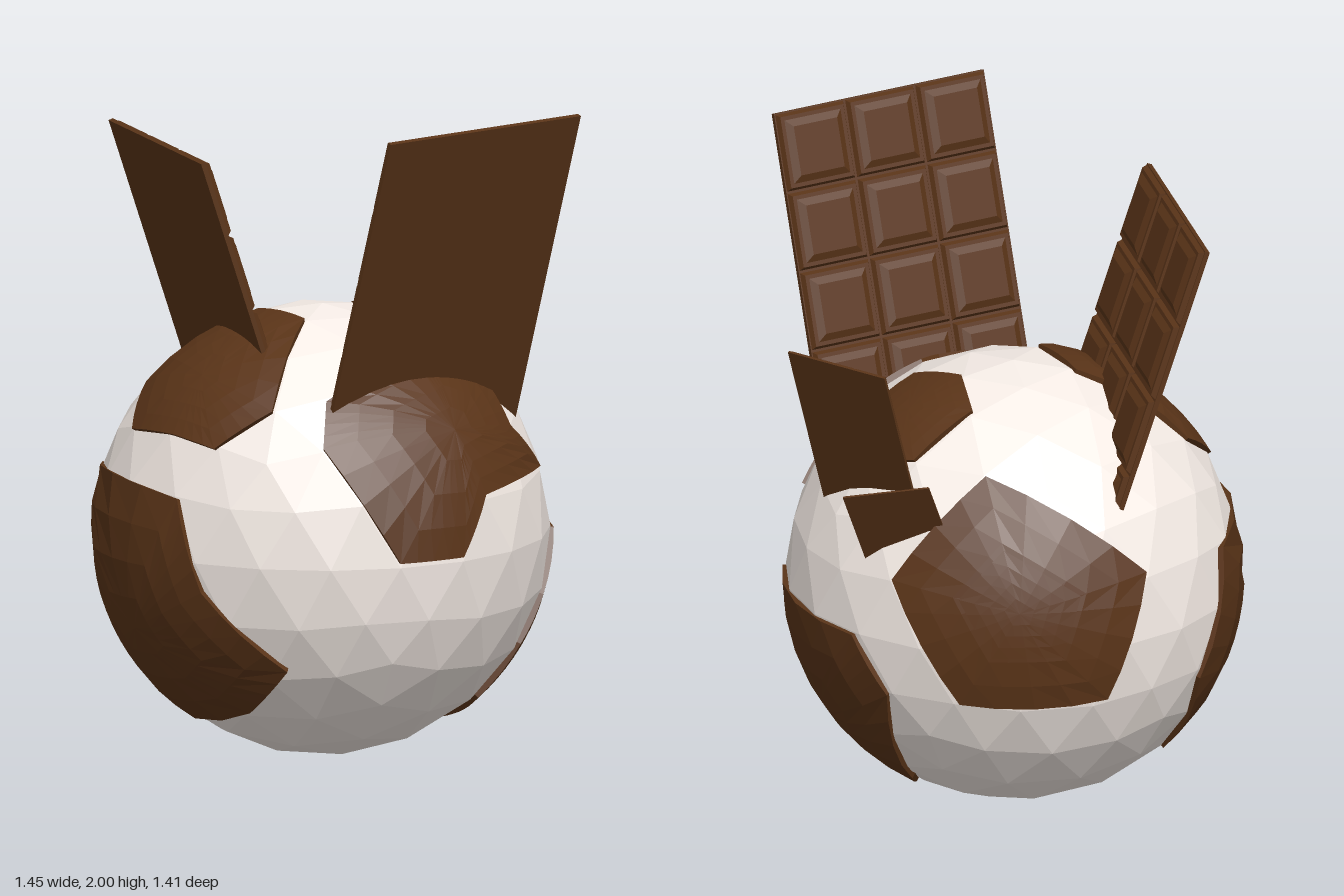
import * as THREE from 'three';
import { mergeGeometries } from 'three/addons/utils/BufferGeometryUtils.js';

const R = 0.685;
const CENTRE = new THREE.Vector3(-0.035, 0.685, -0.01);
const white = new THREE.MeshStandardMaterial({ color: 0xf5ece6, flatShading: true });
const brown = new THREE.MeshStandardMaterial({ color: 0x5a3418, flatShading: true });

// Raised plate on the ball, outlined by points near its surface.
// shrink pulls the outline towards the plate's middle.
function patch(name, points, height = 1.015, shrink = 1) {
  let dirs = points.map(p => new THREE.Vector3(...p).sub(CENTRE).normalize());
  const mid = dirs.reduce((s, d) => s.add(d), new THREE.Vector3()).normalize();
  const turn = new THREE.Vector3();
  dirs.forEach((d, i) => turn.add(d.clone().cross(dirs[(i + 1) % dirs.length])));
  if (turn.dot(mid) < 0) dirs.reverse();
  dirs = dirs.map(d => mid.clone().lerp(d, shrink));

  const edge = [];
  dirs.forEach((d, i) => {
    for (let k = 0; k < 4; k++) edge.push(d.clone().lerp(dirs[(i + 1) % dirs.length], k / 4));
  });
  const rings = 4, n = edge.length, pos = [], index = [];
  for (let r = 0; r <= rings + 1; r++) {
    // the last ring is the rim going down into the ball
    const t = Math.min(r, rings) / rings, radius = R * (r > rings ? 0.97 : height);
    for (const e of edge) {
      pos.push(...mid.clone().lerp(e, t).normalize().multiplyScalar(radius).toArray());
    }
  }
  for (let r = 0; r <= rings; r++) {
    for (let j = 0; j < n; j++) {
      const a = r * n + j, b = r * n + (j + 1) % n;
      if (r > 0) index.push(a, b + n, b);
      index.push(a, a + n, b + n);
    }
  }
  const geo = new THREE.BufferGeometry();
  geo.setAttribute('position', new THREE.Float32BufferAttribute(pos, 3));
  geo.setIndex(index);
  geo.computeVertexNormals();
  const mesh = new THREE.Mesh(geo, brown);
  mesh.position.copy(CENTRE);
  mesh.name = name;
  return mesh;
}

// Chocolate bar: thin slab with a grid of bevelled blocks on one side.
// It hangs from the top edge (start to end) along the down direction.
function chocolateBar(name, start, end, down, rows) {
  const cols = 3;
  const a = new THREE.Vector3(...start), x = new THREE.Vector3(...end).sub(a);
  const p = x.length() / cols;
  x.normalize();
  const y = new THREE.Vector3(...down).negate();
  y.addScaledVector(x, -y.dot(x)).normalize();
  const z = x.clone().cross(y);

  const slab = new THREE.BoxGeometry(p * cols, p * rows, p * 0.06);
  slab.translate(p * cols / 2, -p * rows / 2, p * 0.03);
  const parts = [slab];
  const profile = [[0.49, 0.05], [0.45, 0.12], [0.4, 0.12], [0.31, 0.17], [0, 0.17]]
    .map(([r, h]) => new THREE.Vector2(r * Math.SQRT2 * p, h * p));
  const block = new THREE.LatheGeometry(profile, 4).rotateY(Math.PI / 4).rotateX(Math.PI / 2);
  for (let c = 0; c < cols; c++) {
    for (let r = 0; r < rows; r++) {
      parts.push(block.clone().translate((c + 0.5) * p, -(r + 0.5) * p, 0));
    }
  }
  const mesh = new THREE.Mesh(mergeGeometries(parts), brown);
  mesh.applyMatrix4(new THREE.Matrix4().makeBasis(x, y, z).setPosition(a));
  mesh.name = name;
  return mesh;
}

export function createModel() {
  const model = new THREE.Group();
  model.name = 'chocolateBall';

  // Faceted ball with a corner at the top
  const ballGeo = new THREE.IcosahedronGeometry(R, 3)
    .rotateZ(-Math.atan(2 / (1 + Math.sqrt(5))));
  const ball = new THREE.Mesh(ballGeo, white);
  ball.position.copy(CENTRE);
  ball.name = 'ball';
  model.add(ball);

  // Brown plates
  const back = [[0.55, 0.88, -0.31], [0.27, 1.18, -0.38], [-0.12, 0.89, -0.65],
    [0.02, 0.52, -0.67], [0.42, 0.52, -0.49]];
  model.add(
    patch('frontPatch', [[-0.4, 1.04, 0.46], [-0.25, 0.7, 0.64], [-0.04, 0.7, 0.675],
      [0.07, 0.87, 0.64], [0.41, 0.89, 0.47], [0.28, 1.03, 0.49], [0.26, 1.185, 0.36],
      [0.08, 1.27, 0.34], [0, 1.25, 0.37], [-0.33, 1.16, 0.385]]),
    patch('topPatch', [[0.14, 1.345, -0.01], [0.2, 1.305, -0.18], [0.4, 1.185, -0.18],
      [0.475, 1.14, -0.01], [0.4, 1.185, 0.17], [0.2, 1.305, 0.17]]),
    patch('upperRightPatch', [[-0.18, 1.34, -0.13], [-0.18, 1.345, 0.09], [-0.46, 1.13, 0.29],
      [-0.6, 1.02, 0.19], [-0.62, 1.04, 0.02], [-0.6, 1.02, -0.2], [-0.46, 1.13, -0.31]]),
    patch('lowerLeftPatch', [[0.425, 0.5, 0.46], [0.52, 0.68, 0.39], [0.62, 0.68, -0.2],
      [0.56, 0.51, -0.3], [0.375, 0.15, -0.13], [0.285, 0.08, 0], [0.27, 0.13, 0.25],
      [0.235, 0.2, 0.39], [0.34, 0.36, 0.46]]),
    patch('lowerRightPatch', [[-0.47, 0.86, -0.53], [-0.69, 0.87, 0.12], [-0.67, 0.6, 0.22],
      [-0.49, 0.36, 0.4], [-0.48, 0.21, 0.21], [-0.34, 0.19, -0.37], [-0.335, 0.49, -0.58]]),
    patch('backPatch', back),
    patch('backInnerPatch', back, 1.032, 0.45),
  );

  // Chocolate bars stuck into the ball
  model.add(
    chocolateBar('frontBar', [0.39, 2, 0.705], [-0.335, 2, 0.705], [0, -0.95, -0.31], 5),
    chocolateBar('rightBar', [-0.56, 1.87, 0.07], [-0.355, 1.87, -0.64], [0.3, -0.95, 0.09], 5),
    chocolateBar('leftBar', [0.575, 1.53, -0.3], [0.72, 1.53, 0.03], [-0.3, -0.95, 0.13], 5),
    chocolateBar('smallLeftBar', [0.49, 1.2, -0.42], [0.69, 1.15, -0.25], [-0.43, -0.87, 0.22], 4),
  );
  return model;
}
